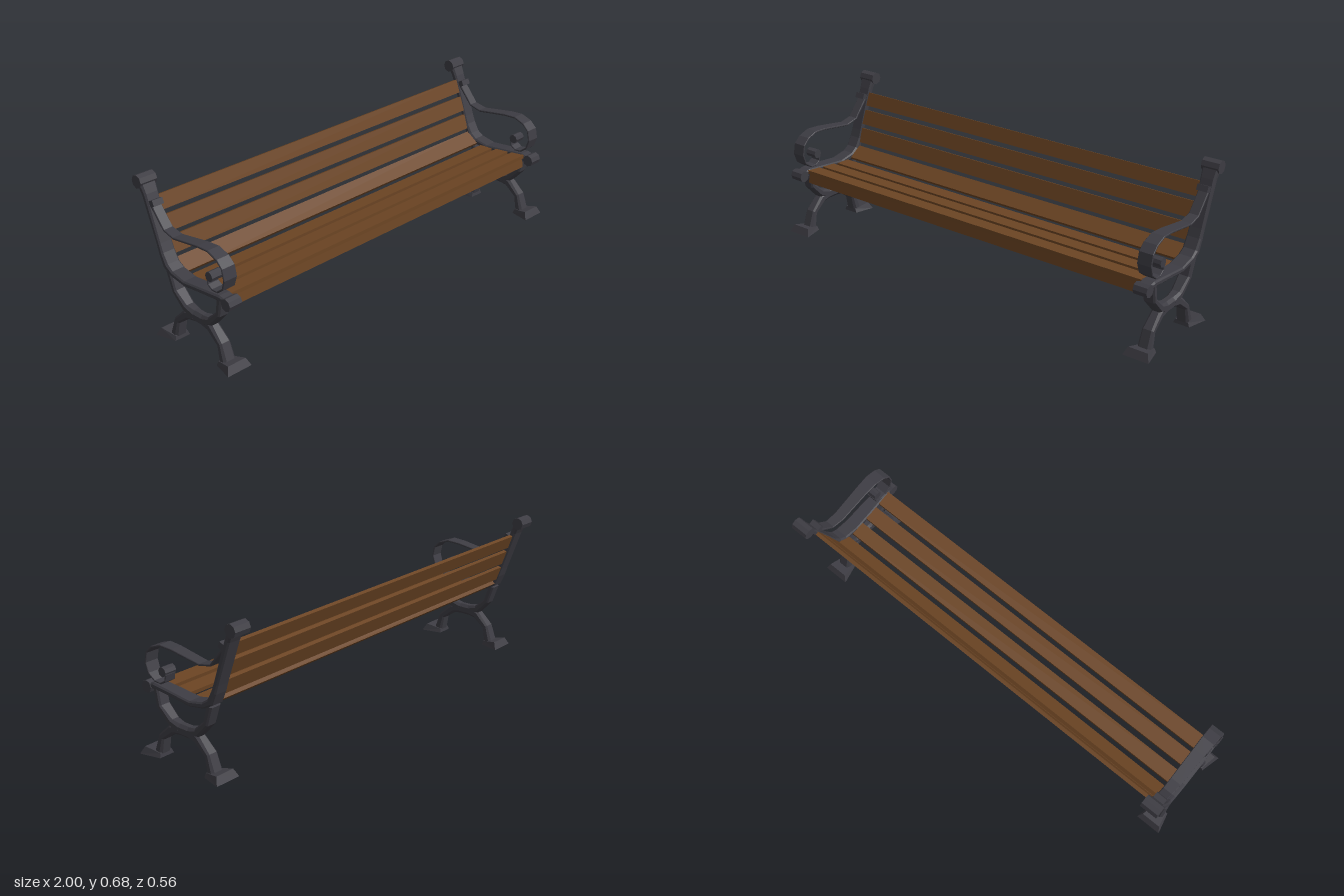
import * as THREE from 'three';

const metal = new THREE.MeshStandardMaterial({ color: 0x3d3c43 });
metal.name = 'dark cast iron';
const wood = new THREE.MeshStandardMaterial({ color: 0x6b4423 });
wood.name = 'brown wood';

function addMesh(parent, name, geometry, material) {
  const flat = geometry.index ? geometry.toNonIndexed() : geometry;
  flat.computeVertexNormals();
  const mesh = new THREE.Mesh(flat, material);
  mesh.name = name;
  parent.add(mesh);
  return mesh;
}

// Chamfered bar along a path in the side plane; points are [z, y, thickness, width]
function bar(points) {
  const pos = [], index = [], n = 8;
  points.forEach(([z, y, t, w], i) => {
    const a = points[Math.max(i - 1, 0)], b = points[Math.min(i + 1, points.length - 1)];
    const len = Math.hypot(b[0] - a[0], b[1] - a[1]);
    const tz = (b[0] - a[0]) / len, ty = (b[1] - a[1]) / len;
    const hx = w / 2, hn = t / 2, c = t * 0.25;
    const ring = [[hx, -hn + c], [hx, hn - c], [hx - c, hn], [-hx + c, hn],
      [-hx, hn - c], [-hx, -hn + c], [-hx + c, -hn], [hx - c, -hn]];
    // the section normal is tangent x X
    for (const [x, d] of ring) pos.push(x, y + d * tz, z - d * ty);
  });
  for (let i = 0; i < points.length - 1; i++) {
    for (let j = 0; j < n; j++) {
      const a = i * n + j, b = i * n + (j + 1) % n;
      index.push(a, b, a + n, b, b + n, a + n);
    }
  }
  const last = (points.length - 1) * n;
  for (let j = 1; j < n - 1; j++) index.push(0, j + 1, j, last, last + j, last + j + 1);
  const g = new THREE.BufferGeometry();
  g.setAttribute('position', new THREE.Float32BufferAttribute(pos, 3));
  g.setIndex(index);
  return g;
}

// Octagonal roll lying across the frame
function roll(z, y, r, width) {
  return new THREE.CylinderGeometry(r, r, width, 8).rotateZ(Math.PI / 2).translate(0, y, z);
}

// Splayed foot: wide, tall toe and narrow, low heel
function foot() {
  const g = new THREE.BoxGeometry(1, 1, 1);
  const p = g.attributes.position;
  for (let i = 0; i < p.count; i++) {
    const top = p.getY(i) > 0, toe = p.getZ(i) > 0, side = Math.sign(p.getX(i));
    const half = toe ? (top ? 0.045 : 0.06) : (top ? 0.03 : 0.037);
    const y = top ? (toe ? 0.033 : 0.018) : 0;
    const z = toe ? (top ? 0.262 : 0.279) : (top ? 0.187 : 0.184);
    p.setXYZ(i, side * half, y, z);
  }
  return g;
}

function createEndFrame() {
  const frame = new THREE.Group();
  frame.name = 'endFrame';

  // Seat rail running up into the back post
  addMesh(frame, 'seatRail', bar([
    [0.255, 0.296, 0.02, 0.055], [0.208, 0.305, 0.026, 0.06], [0.1, 0.298, 0.023, 0.066],
    [0.0, 0.289, 0.022, 0.068], [-0.075, 0.303, 0.026, 0.068], [-0.112, 0.325, 0.032, 0.068],
    [-0.136, 0.372, 0.026, 0.066], [-0.15, 0.41, 0.024, 0.064],
    [-0.219, 0.6, 0.027, 0.066], [-0.24, 0.645, 0.03, 0.074]]), metal);
  addMesh(frame, 'topRoll', roll(-0.248, 0.649, 0.029, 0.08), metal);
  addMesh(frame, 'frontRoll', roll(0.248, 0.293, 0.027, 0.062), metal);

  // Scrolled armrest
  addMesh(frame, 'armrest', bar([
    [-0.19, 0.562, 0.012, 0.046], [-0.118, 0.477, 0.009, 0.046], [-0.058, 0.463, 0.009, 0.05],
    [0.095, 0.485, 0.009, 0.056], [0.157, 0.488, 0.009, 0.06], [0.208, 0.47, 0.008, 0.062],
    [0.237, 0.442, 0.008, 0.064], [0.247, 0.396, 0.008, 0.064], [0.233, 0.354, 0.008, 0.062],
    [0.2, 0.329, 0.007, 0.058], [0.167, 0.326, 0.007, 0.054], [0.143, 0.341, 0.007, 0.052],
    [0.137, 0.37, 0.008, 0.05]]), metal);
  addMesh(frame, 'armScroll', roll(0.154, 0.378, 0.021, 0.056), metal);
  const bracket = addMesh(frame, 'armBracket', new THREE.BoxGeometry(0.05, 0.026, 0.024), metal);
  bracket.position.set(0, 0.571, -0.181);
  bracket.rotation.x = -0.4;

  // Crossed legs: front half, then its mirrored back half
  addMesh(frame, 'legHub', bar([[0.11, 0.15, 0.05, 0.046], [0.0, 0.15, 0.05, 0.046]]), metal);
  for (const s of [1, -1]) {
    const half = new THREE.Group();
    half.name = s > 0 ? 'frontLeg' : 'backLeg';
    addMesh(half, 'upperLeg', bar([
      [s > 0 ? 0.204 : 0.216, 0.306, 0.028, 0.056], [0.188, 0.223, 0.026, 0.054],
      [0.132, 0.168, 0.036, 0.05], [0.085, 0.15, 0.05, 0.047]]), metal);
    addMesh(half, 'lowerLeg', bar([
      [0.085, 0.15, 0.05, 0.047], [0.127, 0.139, 0.042, 0.048],
      [0.187, 0.088, 0.03, 0.052], [0.208, 0.012, 0.042, 0.06]]), metal);
    addMesh(half, 'foot', foot(), metal);
    half.scale.z = s;
    half.position.z = s > 0 ? 0 : 0.112;
    frame.add(half);
  }
  return frame;
}

export function createModel() {
  const model = new THREE.Group();
  model.name = 'bench';

  for (const s of [1, -1]) {
    const frame = createEndFrame();
    frame.name = s > 0 ? 'leftEndFrame' : 'rightEndFrame';
    frame.position.x = s * 0.938;
    model.add(frame);
  }

  // Slats: name, z, y, depth, tilt about x
  const slats = [
    ['backSlat', -0.201, 0.555, 0.064, 1.218],
    ['backSlat', -0.171, 0.472, 0.07, 1.218],
    ['backSlat', -0.142, 0.387, 0.07, 1.218],
    ['lowerBackSlat', -0.093, 0.313, 0.075, 0.6],
    ['seatSlat', 0.0, 0.287, 0.068, -0.03],
    ['seatSlat', 0.095, 0.296, 0.07, -0.08],
    ['seatSlat', 0.186, 0.304, 0.07, -0.08],
    ['frontApron', 0.204, 0.277, 0.056, 1.4],
  ];
  for (const [name, z, y, depth, tilt] of slats) {
    const slat = addMesh(model, name, new THREE.BoxGeometry(1.83, 0.016, depth), wood);
    slat.position.set(0, y, z);
    slat.rotation.x = tilt;
  }
  return model;
}
